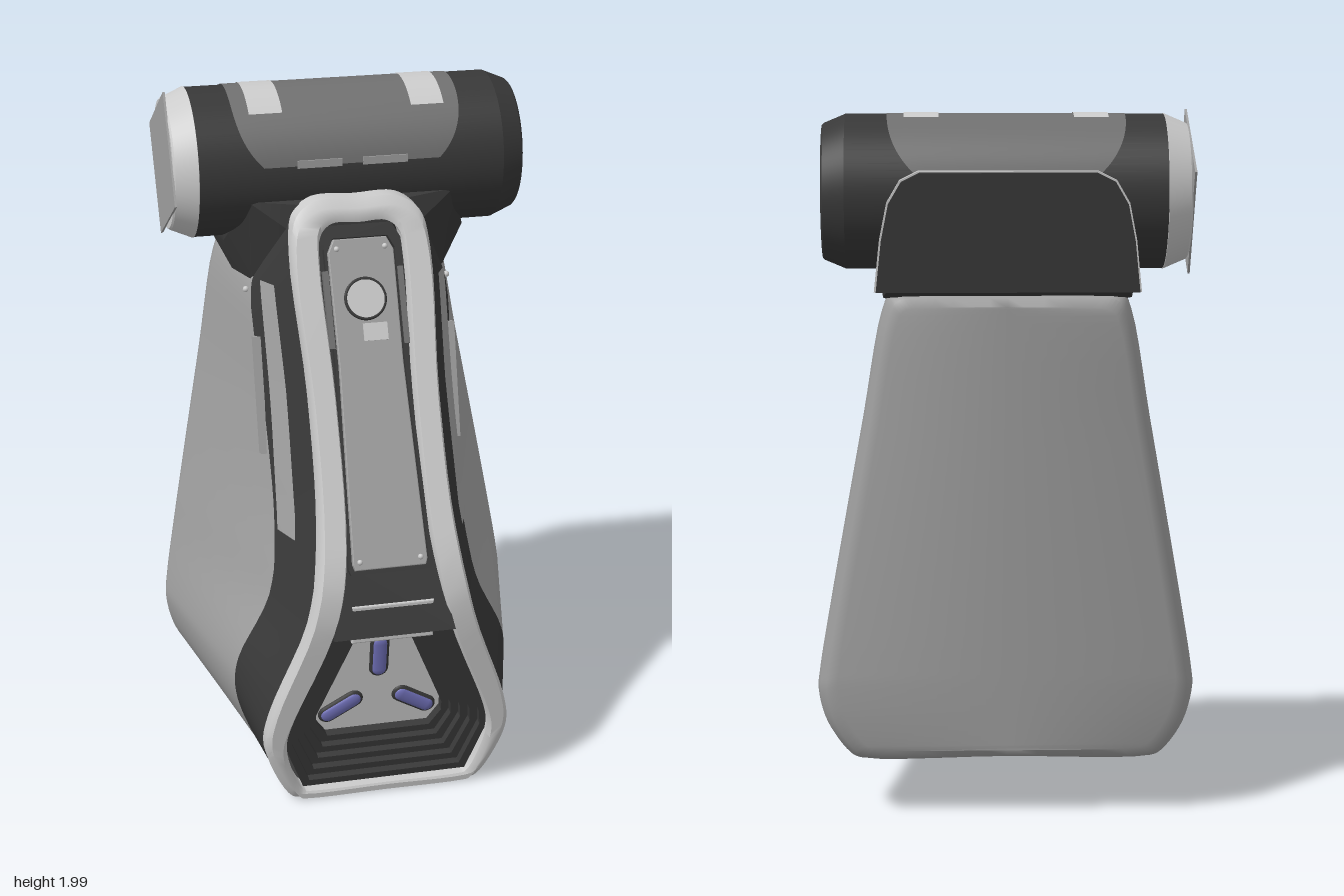
import * as THREE from 'three';
import { toCreasedNormals } from 'three/addons/utils/BufferGeometryUtils.js';
import { ConvexGeometry } from 'three/addons/geometries/ConvexGeometry.js';

const mat = (color) => new THREE.MeshStandardMaterial({ color, side: THREE.DoubleSide });
const LIGHT = mat(0xcccccc), SHELL = mat(0xa0a0a0), MID = mat(0x707070), DARK = mat(0x383838), BLUE = mat(0x7070b8);

function add(parent, name, geo, material, pos = [0, 0, 0], rot = [0, 0, 0]) {
  const m = new THREE.Mesh(geo, material);
  m.name = name;
  m.position.set(...pos);
  m.rotation.set(...rot);
  parent.add(m);
  return m;
}

// Surface from a rule f(i, j) -> [x, y, z]
function grid(nu, nv, f, crease = 0.6) {
  const p = [], idx = [];
  for (let j = 0; j <= nv; j++) for (let i = 0; i <= nu; i++) p.push(...f(i, j));
  for (let j = 0; j < nv; j++) for (let i = 0; i < nu; i++) {
    const a = j * (nu + 1) + i, b = a + nu + 1;
    idx.push(a, a + 1, b, a + 1, b + 1, b);
  }
  const g = new THREE.BufferGeometry();
  g.setAttribute('position', new THREE.Float32BufferAttribute(p, 3));
  g.setIndex(idx);
  return toCreasedNormals(g, crease);
}

// Linear lookup in a table of [key, value] with rising keys
function look(table, k) {
  if (k <= table[0][0]) return table[0][1];
  for (let i = 1; i < table.length; i++) {
    const [a, va] = table[i - 1], [b, vb] = table[i];
    if (k <= b) return va + (vb - va) * (k - a) / (b - a);
  }
  return table[table.length - 1][1];
}

// Mirrored closed loop from half an outline (top centre to bottom centre)
const HALF = 60;
function loop(half, zTable, { dz = 0, inset = 0, sx = 1 } = {}) {
  const curve = new THREE.CatmullRomCurve3(half.map(([x, y]) => new THREE.Vector3(x, y, 0)), false, 'centripetal');
  const out = [];
  for (let i = 0; i <= 2 * HALF; i++) {
    const left = i > HALF, v = curve.getPoint((left ? 2 * HALF - i : i) / HALF);
    const y = 0.8 + (v.y - 0.8) * (1 - inset * 0.6);
    out.push([(left ? -1 : 1) * v.x * (1 - inset) * sx, y, look(zTable, y) + dz]);
  }
  return out;
}
const loft = (loops, crease) => grid(2 * HALF, loops.length - 1, (i, j) => loops[j][i], crease);

// Half outlines and their depth along the height
const RIM_IN = [[0, 1.65], [.08, 1.65], [.115, 1.62], [.125, 1.54], [.115, 1.2], [.125, .82], [.17, .58], [.29, .26], [.3, .2], [.285, .12], [.245, .03], [.22, .025], [0, .025]];
const RIM_OUT = [[0, 1.71], [.12, 1.71], [.18, 1.67], [.2, 1.57], [.185, 1.2], [.195, .85], [.24, .6], [.345, .3], [.36, .2], [.335, .11], [.28, .015], [.25, .005], [0, .005]];
const BAND = [[0, 1.48], [.2, 1.48], [.27, 1.47], [.29, 1.42], [.28, 1.1], [.28, .8], [.31, .6], [.4, .4], [.41, .3], [.38, .18], [.32, .06], [.29, .045], [0, .045]];
const BACK = [[0, 1.51], [.25, 1.51], [.32, 1.5], [.345, 1.45], [.4, 1.15], [.455, .85], [.5, .6], [.53, .42], [.535, .36], [.51, .26], [.45, .175], [.42, .16], [0, .16]];
const Z_FRONT = [[0, .405], [.55, .492], [.62, .5], [.7, .495], [.78, .472], [1.71, .04]];
const Z_RIM = [[0, .34], [.55, .435], [.62, .44], [.7, .425], [1.71, -.03]];
const Z_BAND = [[.05, .175], [.5, .235], [.6, .24], [.68, .23], [1.48, -.1]];
const Z_BACK = [[.15, -.37], [1.51, -.475]];

function poly(points) {
  return new THREE.Shape(points.map(([x, y]) => new THREE.Vector2(x, y)));
}
const mirror = (pts) => [...pts, ...pts.slice().reverse().map(([x, y]) => [-x, y])];
function plate(points, depth, hole, bevel = 0) {
  const s = poly(points);
  if (hole) s.holes.push(new THREE.Path(hole.map(([x, y]) => new THREE.Vector2(x, y))));
  return new THREE.ExtrudeGeometry(s, { depth, bevelEnabled: bevel > 0, bevelSize: bevel, bevelThickness: bevel, bevelSegments: 2 });
}

function buildBody(g) {
  add(g, 'frontRim', loft([
    loop(RIM_IN, Z_FRONT, { dz: -.08 }), loop(RIM_IN, Z_FRONT, { dz: -.012 }), loop(RIM_IN, Z_FRONT, { inset: -.04 }),
    loop(RIM_OUT, Z_FRONT, { inset: .04 }), loop(RIM_OUT, Z_FRONT, { dz: -.015 }), loop(RIM_OUT, Z_RIM)], 0.7), LIGHT);
  add(g, 'sideBand', loft([loop(RIM_OUT, Z_RIM), loop(BAND, Z_BAND)]), DARK);
  add(g, 'backShell', loft([
    loop(BAND, Z_BAND), loop(BACK, Z_BACK, { dz: .1 }), loop(BACK, Z_BACK, { dz: .05, inset: .015 }),
    loop(BACK, Z_BACK, { dz: .015, inset: .05 }), loop(BACK, Z_BACK, { inset: .11 }),
    loop(BACK, Z_BACK, { inset: .11, sx: 0 })], 0.7), SHELL);

  // Strips on the band and vents on the shell
  const rimX = [[.6, .24], [.85, .195], [1.2, .185], [1.57, .2]], bandX = [[.6, .31], [.8, .28], [1.1, .28], [1.42, .29]];
  for (const s of [1, -1]) {
    add(g, 'bandStrip', grid(1, 12, (i, j) => {
      const t = j / 12, y = 1.47 - .67 * t, u = i ? .68 + .16 * t : .36 + .04 * t;
      const mix = (a, b) => a + (b - a) * u;
      return [s * (mix(look(rimX, y), look(bandX, y)) + .012), y, mix(look(Z_RIM, y), look(Z_BAND, y)) + .012];
    }), SHELL);
    add(g, 'sideVent', new THREE.BoxGeometry(.02, .34, .035), SHELL, [s * .288, 1.14, .03], [-.27, 0, 0]);
    add(g, 'sideScrew', new THREE.SphereGeometry(.009, 10, 8), LIGHT, [s * .3, 1.42, -.1]);
  }

  // Neck under the barrel
  const neck = [];
  for (const s of [1, -1]) for (const [x, y, z] of [[.15, 1.69, -.01], [.19, 1.62, .0], [.285, 1.45, -.1], [.325, 1.46, -.18],
    [.34, 1.49, -.44], [.355, 1.56, -.14], [.355, 1.56, -.42], [.36, 1.72, -.3], [.3, 1.7, -.04], [.33, 1.51, -.475], [.33, 1.68, -.48]])
    neck.push(new THREE.Vector3(s * x, y, z));
  add(g, 'neck', toCreasedNormals(new ConvexGeometry(neck), .5), DARK);

  // Rear panel with light edging
  const rear = mirror([[.36, 0], [.345, .14], [.325, .24], [.29, .3], [.24, .325]]);
  const tilt = [-.09, 0, 0].map((a) => -a);
  add(g, 'rearPanel', plate(rear, .07), DARK, [0, 1.505, -.475], [-tilt[0], 0, 0]);
  add(g, 'rearEdging', plate(rear.map(([x, y]) => [x * 1.015, y * 1.015]), .016), LIGHT, [0, 1.505, -.462], [-tilt[0], 0, 0]);
}

function buildFrontPanel(g) {
  const p = new THREE.Group();
  p.name = 'frontPanel';
  p.position.set(0, 1.2, .277);
  p.rotation.x = -.432;
  g.add(p);
  const outer = mirror([[.175, -.67], [.135, -.45], [.13, .44], [.1, .5]]);
  const face = mirror([[.1, -.475], [.105, -.46], [.09, .1], [.092, .42], [.075, .455]]);
  const big = face.map(([x, y]) => [x * 1.16, y * 1.03]), mid = face.map(([x, y]) => [x * 1.07, y * 1.012]);
  add(p, 'panelBacking', plate(outer, .03), DARK, [0, 0, -.075]);
  add(p, 'panelFrame', plate(big, .02, mid), DARK, [0, 0, -.045]);
  add(p, 'panelFace', plate(face, .015, null, .003), SHELL, [0, 0, -.043]);
  add(p, 'buttonRing', new THREE.TorusGeometry(.057, .005, 8, 40), DARK, [0, .285, -.024]);
  add(p, 'button', new THREE.CylinderGeometry(.054, .054, .012, 40), LIGHT, [0, .285, -.024], [Math.PI / 2, 0, 0]);
  add(p, 'indicator', new THREE.BoxGeometry(.07, .05, .006), LIGHT, [.02, .19, -.023]);
  for (const s of [1, -1]) {
    add(p, 'panelTab', new THREE.BoxGeometry(.016, .22, .02), MID, [s * .108, .26, -.03]);
    for (const [x, y] of [[.07, .43], [.088, -.455]])
      add(p, 'screw', new THREE.SphereGeometry(.008, 10, 8), LIGHT, [s * x, y, -.024]);
  }
}

function buildPort(g) {
  const p = new THREE.Group();
  p.name = 'lowerPort';
  p.position.set(0, .3, .452);
  p.rotation.x = .154;
  g.add(p);
  const wide = mirror([[.17, .28], [.3, -.06], [.305, -.11], [.245, -.27]]);
  const small = mirror([[.085, .165], [.19, -.09], [.19, -.12], [.155, -.17]]);
  const ringAt = (t) => wide.map(([x, y], i) => [x + (small[i][0] - x) * t, y + (small[i][1] - y) * t]);
  // Steps down to the floor
  for (let k = 0; k < 5; k++)
    add(p, 'portStep', plate(ringAt(k / 5), .03, ringAt((k + 1) / 5)), DARK, [0, 0, -.055 - k * .024]);
  add(p, 'portFloor', plate(ringAt(.97), .02), LIGHT, [0, 0, -.17]);
  // Three slots around the centre
  for (const a of [0, 2.12, -2.12]) {
    const r = a ? .13 : .105, pos = (z) => [-Math.sin(a) * r, -.02 + Math.cos(a) * r, z];
    for (const [name, rad, m, z] of [['slotEdge', .029, DARK, -.15], ['slot', .021, BLUE, -.143]]) {
      const slot = add(p, name, new THREE.CapsuleGeometry(rad, .09, 6, 16), m, pos(z), [0, 0, a]);
      slot.scale.z = .4;
    }
  }
  add(g, 'portVisor', plate(mirror([[.115, -.055], [.115, .055]]), .045, null, .004), LIGHT, [0, .6, .432], [.05, 0, 0]);
  add(g, 'visorSlit', new THREE.BoxGeometry(.05, .008, .006), DARK, [-.06, .56, .481]);
}

function buildBarrel(g) {
  const b = new THREE.Group();
  b.name = 'barrel';
  b.position.set(0, 1.77, -.237);
  g.add(b);
  // Turned parts: [radius, x] profiles spun about the x axis
  const turn = (name, prof, m) => add(b, name,
    toCreasedNormals(new THREE.LatheGeometry(prof.map(([r, x]) => new THREE.Vector2(r, x)), 64), .3), m, [0, 0, 0], [0, 0, -Math.PI / 2]);
  turn('barrelBody', [[0, -.44], [.215, -.44], [.215, .445], [.19, .505], [.185, .51], [.168, .51], [.165, .5], [0, .5]], DARK);
  turn('endRing', [[0, -.508], [.185, -.508], [.19, -.503], [.217, -.44], [.205, -.435]], LIGHT);
  turn('endCap', [[.162, .49], [.162, .507], [0, .507]], SHELL);
  add(b, 'endPlate', new THREE.BoxGeometry(.006, .332, .332), SHELL, [-.51, 0, 0], [-Math.PI / 6, 0, 0]);

  // Curved patches; angles in degrees from the top towards the front
  const patch = (name, a0, a1, x0, x1, r, m) => add(b, name, grid(12, 32, (i, j) => {
    const t = j / 32, a = THREE.MathUtils.degToRad(a0 + (a1 - a0) * t), L = x0(t), R = x1(t);
    return [L + (R - L) * i / 12, r * Math.cos(a), r * Math.sin(a)];
  }), m);
  const half = (t) => .33 - .075 * Math.pow(Math.abs(2 * t - 1), 4);
  patch('topCover', -75, 82, (t) => -half(t), half, .2175, MID);
  for (const s of [1, -1]) {
    patch('topWindow', -20, 40, () => s * .235 - .048, () => s * .235 + .048, .2195, LIGHT);
    add(b, 'frontSlot', new THREE.BoxGeometry(.13, .022, .012), SHELL, [s * .095, .035, .211]);
  }
}

export function createModel() {
  const g = new THREE.Group();
  g.name = 'device';
  buildBody(g);
  buildFrontPanel(g);
  buildPort(g);
  buildBarrel(g);
  return g;
}
